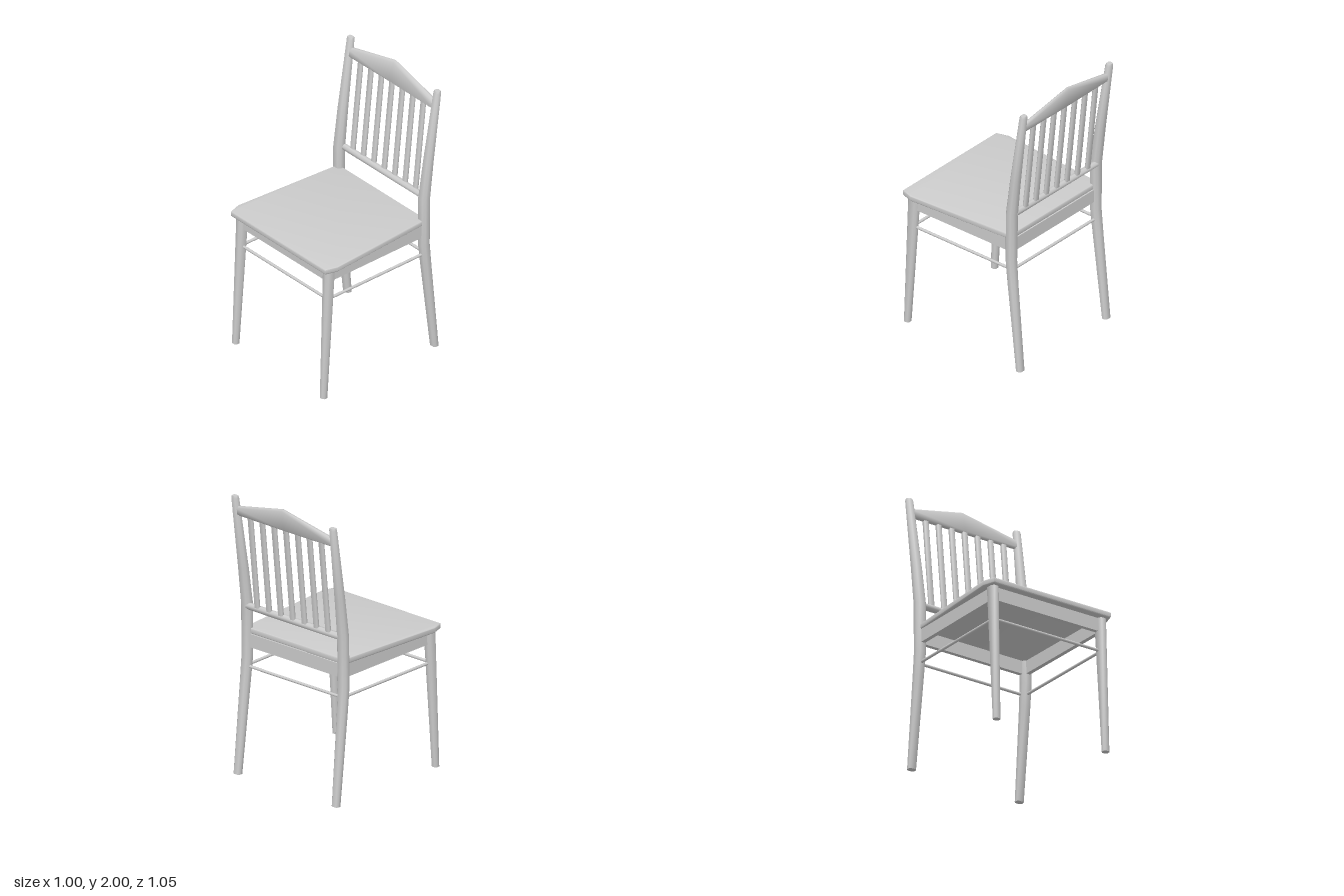
import * as THREE from 'three';
import { toCreasedNormals } from 'three/addons/utils/BufferGeometryUtils.js';

const V = (x, y, z) => new THREE.Vector3(x, y, z);
const material = new THREE.MeshStandardMaterial({ color: 0xcccccc });

// rectangle with cut corners, as [u, v] pairs running counter-clockwise
function section(w, d, cut = 0.25) {
  const a = w / 2, b = d / 2, c = Math.min(w, d) * cut;
  return [[a, -b + c], [a, b - c], [a - c, b], [-a + c, b],
    [-a, b - c], [-a, -b + c], [-a + c, -b], [a - c, -b]];
}

// skin over a row of equal rings, closed at both ends
function loft(rings) {
  const n = rings[0].length, last = (rings.length - 1) * n, index = [];
  for (let r = 0; r < last; r += n)
    for (let i = 0; i < n; i++) {
      const j = (i + 1) % n;
      index.push(r + i, r + j, r + n + j, r + i, r + n + j, r + n + i);
    }
  for (let i = 1; i < n - 1; i++)
    index.push(0, i + 1, i, last, last + i, last + i + 1);
  const geometry = new THREE.BufferGeometry().setFromPoints(rings.flat());
  geometry.setIndex(index);
  return toCreasedNormals(geometry, 0.9);
}

// upright member from levels of [y, xMin, xMax, zFront, zBack]
const upright = (levels, side = 1) => loft(levels.map(([y, x0, x1, zf, zb]) =>
  section(x1 - x0, zf - zb).map(([u, v]) =>
    V(side * (x0 + x1) / 2 + u, y, (zf + zb) / 2 - v))));

export function createModel() {
  const group = new THREE.Group();
  const add = (name, geometry) => {
    const mesh = new THREE.Mesh(geometry, material);
    mesh.name = name;
    group.add(mesh);
    return mesh;
  };
  // straight piece between two points, its geometry running along z
  const between = (name, a, b, make) => {
    const mesh = add(name, make(a.distanceTo(b)));
    mesh.position.copy(a).lerp(b, 0.5);
    mesh.lookAt(b);
  };
  const board = (l) => new THREE.BoxGeometry(0.03, 0.095, l);
  const rod = (l) => new THREE.CylinderGeometry(0.01, 0.01, l, 10).rotateX(Math.PI / 2);

  // seat: tapered plan with clipped front corners and a softened edge
  const bevel = 0.008;
  const plan = new THREE.Shape([[-0.468, -0.51], [0.468, -0.51], [0.492, -0.43],
    [0.435, 0.385], [-0.435, 0.385], [-0.492, -0.43]].map(([x, y]) => new THREE.Vector2(x, y)));
  const seat = new THREE.ExtrudeGeometry(plan, {
    depth: 0.04 - 2 * bevel, bevelSize: bevel, bevelThickness: bevel, bevelSegments: 3,
  });
  seat.rotateX(-Math.PI / 2).translate(0, 0.98 + bevel, 0);
  add('seat', toCreasedNormals(seat, 0.7));

  for (const side of [1, -1]) {
    const label = side > 0 ? 'left' : 'right';
    // tapered front leg
    add(label + 'FrontLeg', upright([
      [0, 0.418, 0.465, 0.525, 0.48],
      [0.985, 0.405, 0.465, 0.49, 0.41],
    ], side));
    // back leg bending into the back post
    add(label + 'BackPost', upright([
      [0, 0.408, 0.465, -0.445, -0.49],
      [0.65, 0.397, 0.465, -0.367, -0.432],
      [0.82, 0.392, 0.465, -0.35, -0.418],
      [1.18, 0.388, 0.465, -0.354, -0.422],
      [1.45, 0.395, 0.464, -0.391, -0.452],
      [1.965, 0.41, 0.461, -0.473, -0.517],
      [1.98, 0.415, 0.456, -0.479, -0.513],
    ], side));
    between(label + 'Apron', V(side * 0.432, 0.934, 0.44), V(side * 0.425, 0.934, -0.38), board);
    between(label + 'Stretcher', V(side * 0.435, 0.748, 0.46), V(side * 0.43, 0.748, -0.39), rod);
  }

  // cross pieces under the seat
  for (const [label, za, zs] of [['front', 0.45, 0.46], ['back', -0.385, -0.395]]) {
    between(label + 'Apron', V(-0.425, 0.934, za), V(0.425, 0.934, za), board);
    between(label + 'Stretcher', V(-0.43, 0.748, zs), V(0.43, 0.748, zs), rod);
  }

  // lower back rail
  add('lowerBackRail', loft([-0.41, 0.41].map((x) =>
    section(0.045, 0.044, 0.3).map(([u, v]) => V(x, 1.178, -0.402 + v).setY(1.178 + u)))));

  // peaked top rail, leaning back and bowed slightly
  add('topRail', loft([[-0.425, 1.905, 0], [0, 2, -0.004], [0.425, 1.905, 0]].map(([x, top, bow]) => {
    const mid = (1.84 + top) / 2;
    return section(top - 1.84, 0.04, 0.3).map(([u, v]) => {
      const y = mid + u;
      const thin = 1 - 0.25 * (y - 1.84) / 0.16;
      return V(x, y, -0.477 - 0.16 * (y - 1.84) + bow + v * thin);
    });
  })));

  // seven leaning back slats
  for (let i = -3; i <= 3; i++) {
    const x = i * 0.105;
    add('backSlat', upright([
      [1.18, x - 0.021, x + 0.021, -0.397, -0.421],
      [1.86, x - 0.021, x + 0.021, -0.468, -0.492],
    ]));
  }
  return group;
}
